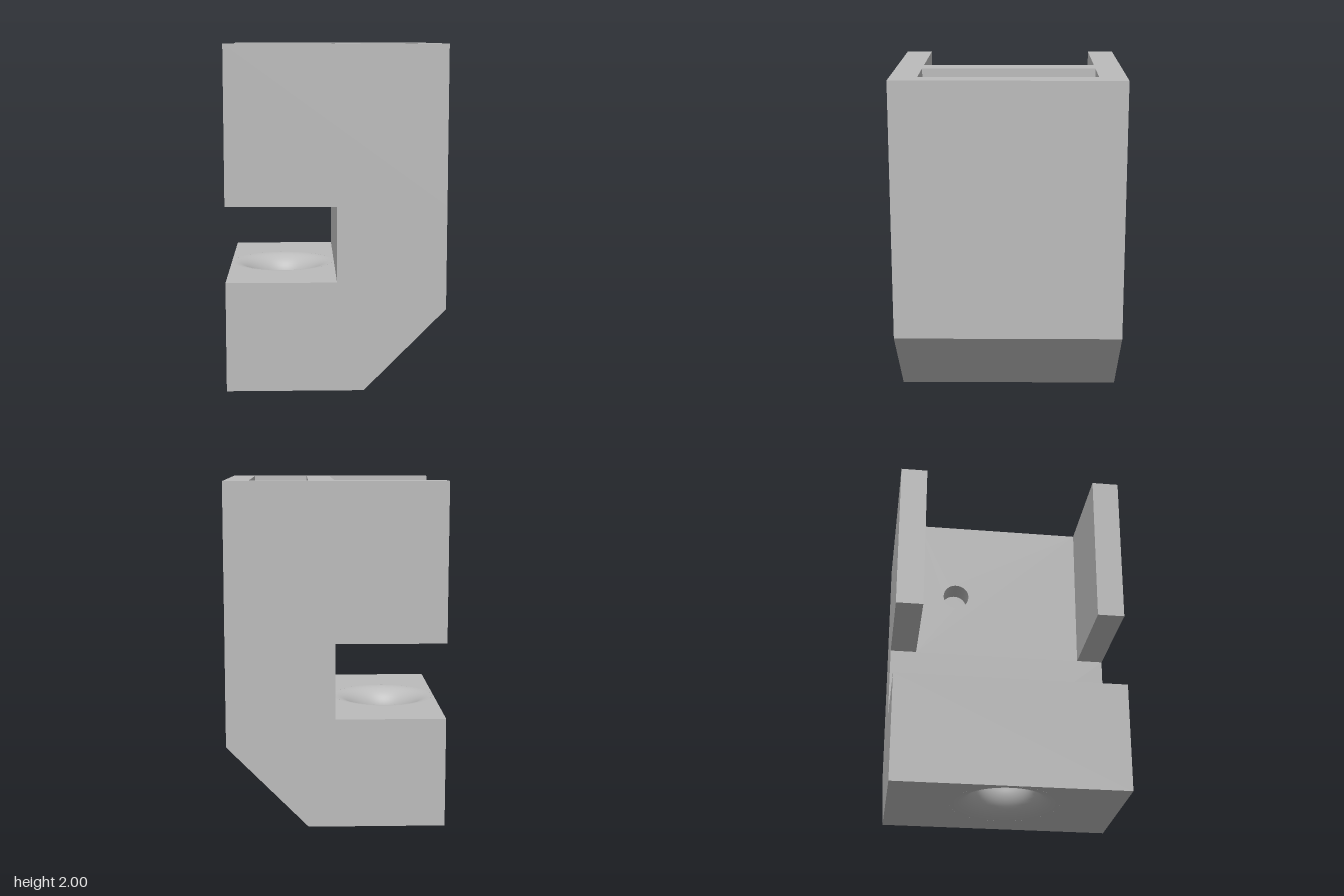
import * as THREE from 'three';

const W = 0.67;             // half width
const D = 0.635;            // half depth
const IN = 0.512;           // half width of the pockets
const FACE = -0.005;        // depth of the slot and front pocket
const SLOT = [0.64, 1.08];  // slot floor and roof
const TOP = 2;

const shapeOf = (pts) => new THREE.Shape(pts.map(([x, z]) => new THREE.Vector2(x, -z)));

const circle = (x, y, r) => new THREE.Path().absarc(x, y, r, 0, Math.PI * 2, true);

const extrude = (shape, depth) =>
  new THREE.ExtrudeGeometry(shape, { depth, bevelEnabled: false, curveSegments: 48 });

// plan outline (x, z) raised from y0 to y1
const raise = (shape, y0, y1) => extrude(shape, y1 - y0).rotateX(-Math.PI / 2).translate(0, y0, 0);

export function createModel() {
  const grey = new THREE.MeshStandardMaterial({ color: 0xbbbbbb });
  grey.name = 'plain grey';

  const model = new THREE.Group();
  model.name = 'bracketBlock';
  const body = new THREE.Group();
  body.name = 'body';
  body.rotation.y = -Math.PI / 4;   // stands cornerwise
  model.add(body);

  const add = (name, geometry) => {
    const mesh = new THREE.Mesh(geometry, grey);
    mesh.name = name;
    body.add(mesh);
  };

  // U-shaped upper walls, open to the front
  const walls = shapeOf([
    [-W, D], [-IN, D], [-IN, -0.493], [IN, -0.493],
    [IN, D], [W, D], [W, -D], [-W, -D],
  ]);
  add('upperWalls', raise(walls, SLOT[1], TOP));

  // divider between the two pockets, with a small round hole
  const panel = new THREE.Shape([
    new THREE.Vector2(-IN, SLOT[1]), new THREE.Vector2(IN, SLOT[1]),
    new THREE.Vector2(IN, TOP), new THREE.Vector2(-IN, TOP),
  ]);
  panel.holes.push(circle(-0.267, 1.49, 0.08));
  add('divider', extrude(panel, 0.15).translate(0, 0, FACE - 0.15));

  // spine behind the slot, chamfered at the bottom rear
  const spine = new THREE.Shape([
    [-D, SLOT[1]], [-D, 0.48], [-0.16, 0], [FACE, 0], [FACE, SLOT[1]],
  ].map(([z, y]) => new THREE.Vector2(-z, y)));
  add('spine', extrude(spine, 2 * W).rotateY(Math.PI / 2).translate(-W, 0, 0));

  // base in front of the spine, pierced by a hole flared at both ends
  const holeZ = (FACE + D) / 2, throat = 0.172, flare = 0.14;
  const base = shapeOf([[-W, D], [W, D], [W, FACE], [-W, FACE]]);
  base.holes.push(circle(0, -holeZ, throat + flare));
  add('base', raise(base, 0, SLOT[0]));

  // rounded lining of the hole, listed downwards so it faces inwards
  const profile = [];
  const steps = 12;
  for (let i = 0; i <= steps; i++) {
    const a = (i / steps) * Math.PI / 2;
    profile.push(new THREE.Vector2(throat + flare * (1 - Math.sin(a)), SLOT[0] - flare * (1 - Math.cos(a))));
  }
  for (let i = steps; i >= 0; i--) profile.push(new THREE.Vector2(profile[i].x, SLOT[0] - profile[i].y));
  add('flaredHole', new THREE.LatheGeometry(profile, 48).translate(0, 0, holeZ));

  return model;
}
